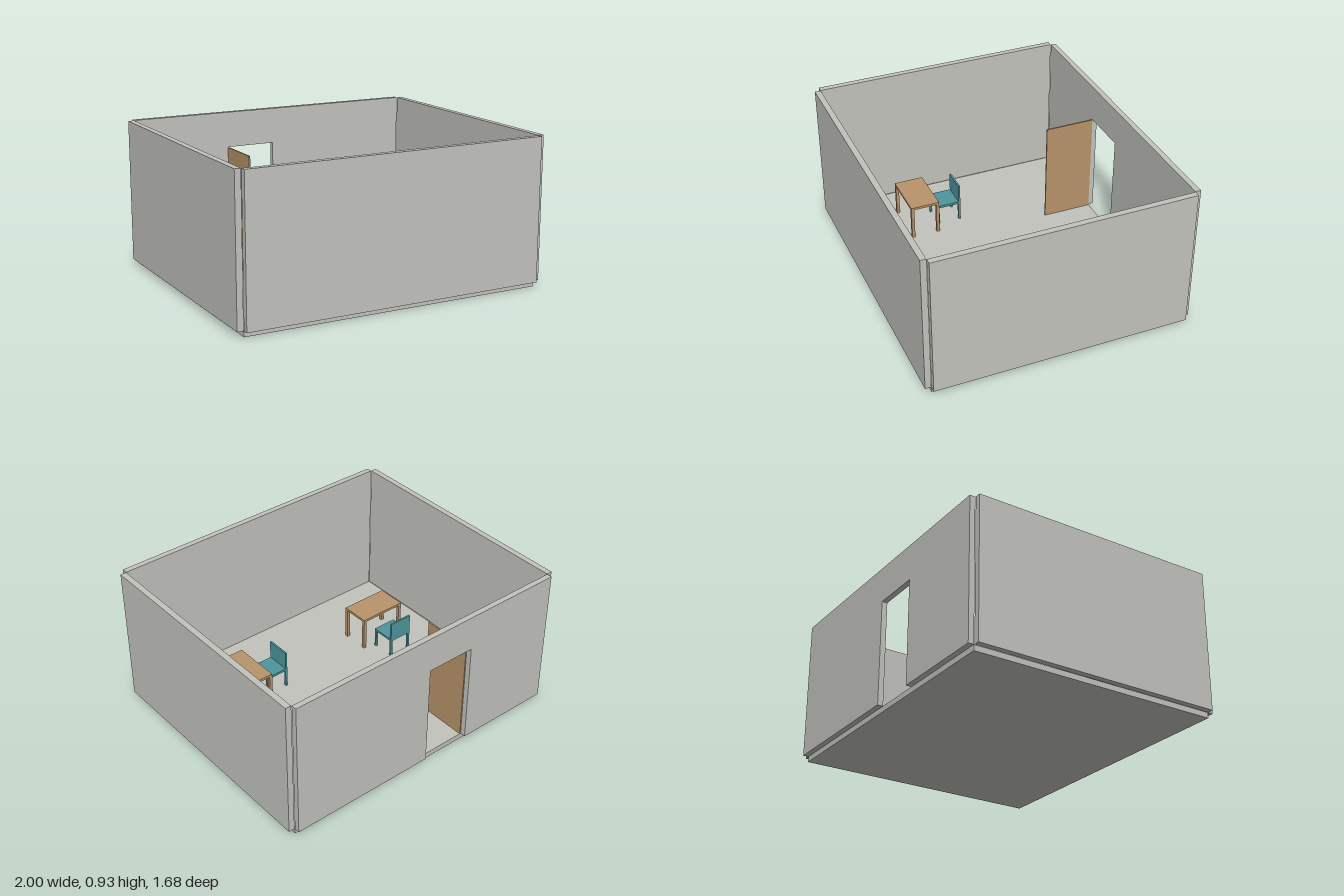
import * as THREE from 'three';

const plaster = new THREE.MeshStandardMaterial({ name: 'plasterGrey', color: 0xc3c3be });
const wood = new THREE.MeshStandardMaterial({ name: 'wood', color: 0xb8946a });
const teal = new THREE.MeshStandardMaterial({ name: 'teal', color: 0x4f969d });

const FLOOR = 0.035, TOP = 0.93;

// Box given by its lower and upper corners
function block(name, material, [x0, y0, z0], [x1, y1, z1]) {
  const mesh = new THREE.Mesh(new THREE.BoxGeometry(x1 - x0, y1 - y0, z1 - z0), material);
  mesh.position.set((x0 + x1) / 2, (y0 + y1) / 2, (z0 + z1) / 2);
  mesh.name = name;
  return mesh;
}

// Four square legs flush with the corners of a w by d rectangle
function addLegs(group, name, material, w, d, height, t) {
  for (const sx of [-1, 1]) for (const sz of [-1, 1]) {
    const x = sx * (w - t) / 2, z = sz * (d - t) / 2;
    group.add(block(name, material, [x - t / 2, 0, z - t / 2], [x + t / 2, height, z + t / 2]));
  }
}

function makeDesk() {
  const desk = new THREE.Group();
  desk.name = 'desk';
  desk.add(block('deskTop', wood, [-0.16, 0.21, -0.095], [0.16, 0.226, 0.095]));
  addLegs(desk, 'deskLeg', wood, 0.32, 0.19, 0.21, 0.02);
  return desk;
}

// The backrest is on the -z side
function makeChair() {
  const chair = new THREE.Group();
  chair.name = 'chair';
  chair.add(block('chairSeat', teal, [-0.08, 0.12, -0.08], [0.08, 0.135, 0.08]));
  chair.add(block('chairBack', teal, [-0.08, 0.135, -0.08], [0.08, 0.257, -0.068]));
  addLegs(chair, 'chairLeg', teal, 0.16, 0.16, 0.12, 0.014);
  return chair;
}

function place(object, x, z, turn = 0) {
  object.position.set(x, FLOOR, z);
  object.rotation.y = turn;
  return object;
}

export function createModel() {
  const model = new THREE.Group();
  model.name = 'office';

  // Floor slab and the plain walls
  model.add(block('floor', plaster, [-0.96, 0, -0.805], [0.96, FLOOR, 0.8]));
  model.add(block('frontWall', plaster, [-0.96, FLOOR, 0.8], [0.96, TOP, 0.837]));
  model.add(block('rightWall', plaster, [-1, FLOOR, -0.803], [-0.962, TOP, 0.8]));
  model.add(block('leftWall', plaster, [0.962, FLOOR, -0.803], [1, TOP, 0.8]));

  // Back wall with its doorway open down to the floor
  const outline = new THREE.Shape([
    [-0.96, FLOOR], [-0.32, FLOOR], [-0.32, 0.7], [0, 0.7],
    [0, FLOOR], [0.96, FLOOR], [0.96, TOP], [-0.96, TOP],
  ].map(([x, y]) => new THREE.Vector2(x, y)));
  const backWall = new THREE.Mesh(
    new THREE.ExtrudeGeometry(outline, { depth: 0.035, bevelEnabled: false }), plaster);
  backWall.position.z = -0.84;
  backWall.name = 'backWall';
  model.add(backWall);

  // Door standing open into the room
  model.add(block('door', wood, [-0.323, FLOOR, -0.805], [-0.313, 0.697, -0.485]));

  // Two workplaces, the second turned a quarter
  model.add(place(makeDesk(), -0.58, 0.317));
  model.add(place(makeChair(), -0.58, 0.125));
  model.add(place(makeDesk(), 0.478, 0.317, Math.PI / 2));
  model.add(place(makeChair(), 0.286, 0.317, Math.PI / 2));

  return model;
}
